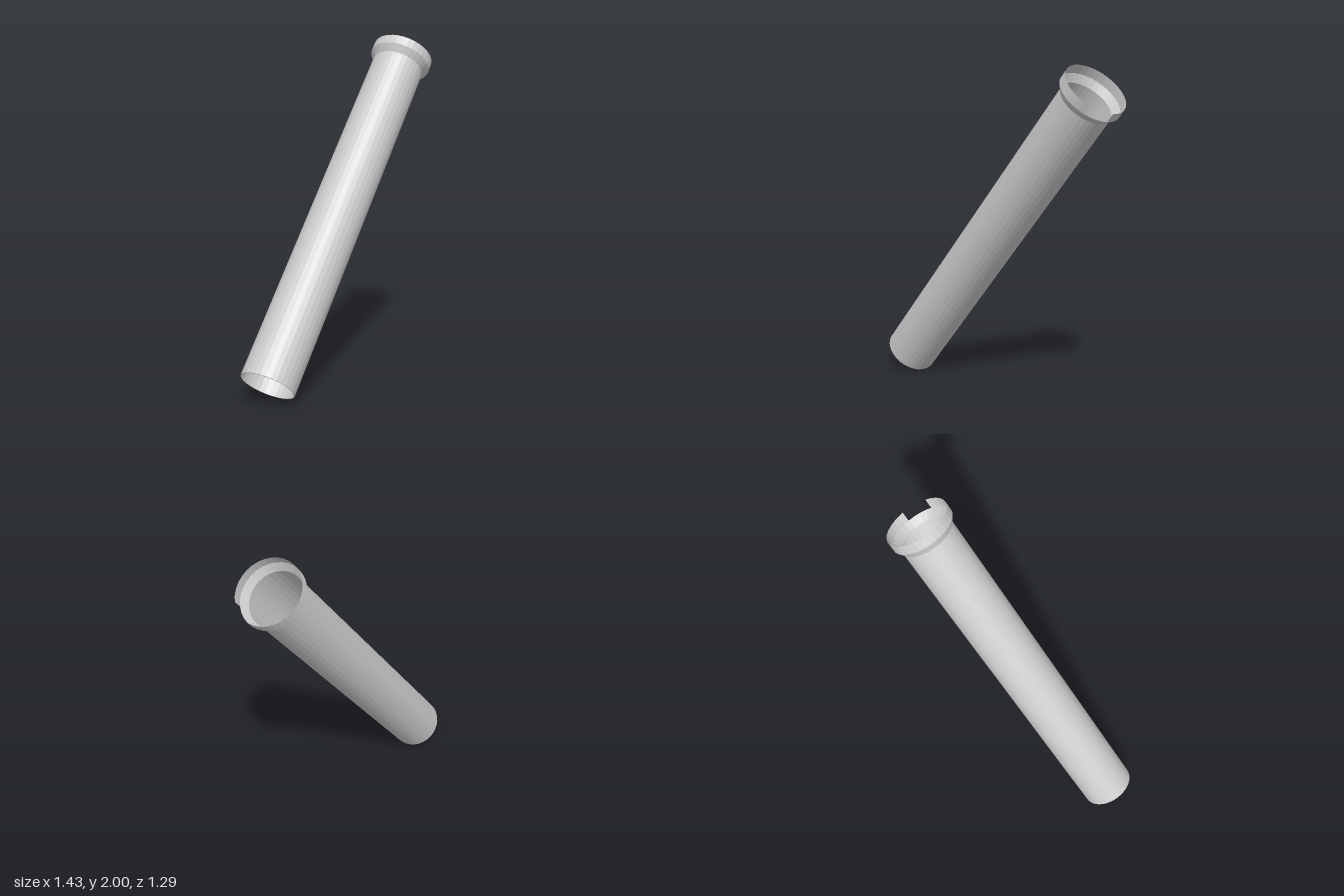
import * as THREE from 'three';

const SIDES = 32;
const RADIUS = 0.16, COLLAR_RADIUS = 0.19;
const bottom = new THREE.Vector3(-0.58, 0.103, 0.5);
const top = new THREE.Vector3(0.55, 1.878, -0.477);

export function createModel() {
  const model = new THREE.Group();
  model.name = 'pipe';
  const material = new THREE.MeshStandardMaterial({
    color: 0xcccccc, flatShading: true, side: THREE.DoubleSide,
  });

  // Turned shell along +y; the gap, in sides, is centred on +x
  function turned(name, profile, gap = 0) {
    const step = (Math.PI * 2) / SIDES;
    const geometry = new THREE.LatheGeometry(
      profile.map(([r, y]) => new THREE.Vector2(r, y)),
      SIDES - gap, Math.PI / 2 + (gap / 2) * step, (SIDES - gap) * step);
    const mesh = new THREE.Mesh(geometry, material);
    mesh.name = name;
    model.add(mesh);
  }

  const length = top.distanceTo(bottom);
  const collarY = length - 0.06, flareY = length - 0.105;

  turned('bottomRim', [[RADIUS - 0.006, 0], [RADIUS, 0]]);
  turned('tube', [[RADIUS, 0], [RADIUS, flareY]]);
  turned('flare', [[RADIUS, flareY], [COLLAR_RADIUS, collarY]]);
  // Collar with a notch cut through its full height
  turned('notchedCollar', [[COLLAR_RADIUS, collarY], [COLLAR_RADIUS, length]], 4);

  // Lean the pipe, turning the notch outward and down
  const axis = top.clone().sub(bottom).normalize();
  const notch = new THREE.Vector3(0.287, -0.1885, -0.011);
  notch.addScaledVector(axis, -notch.dot(axis)).normalize();
  const side = new THREE.Vector3().crossVectors(notch, axis);
  model.quaternion.setFromRotationMatrix(new THREE.Matrix4().makeBasis(notch, axis, side));
  model.position.copy(bottom);

  const root = new THREE.Group();
  root.name = 'leaningPipe';
  root.add(model);
  return root;
}
